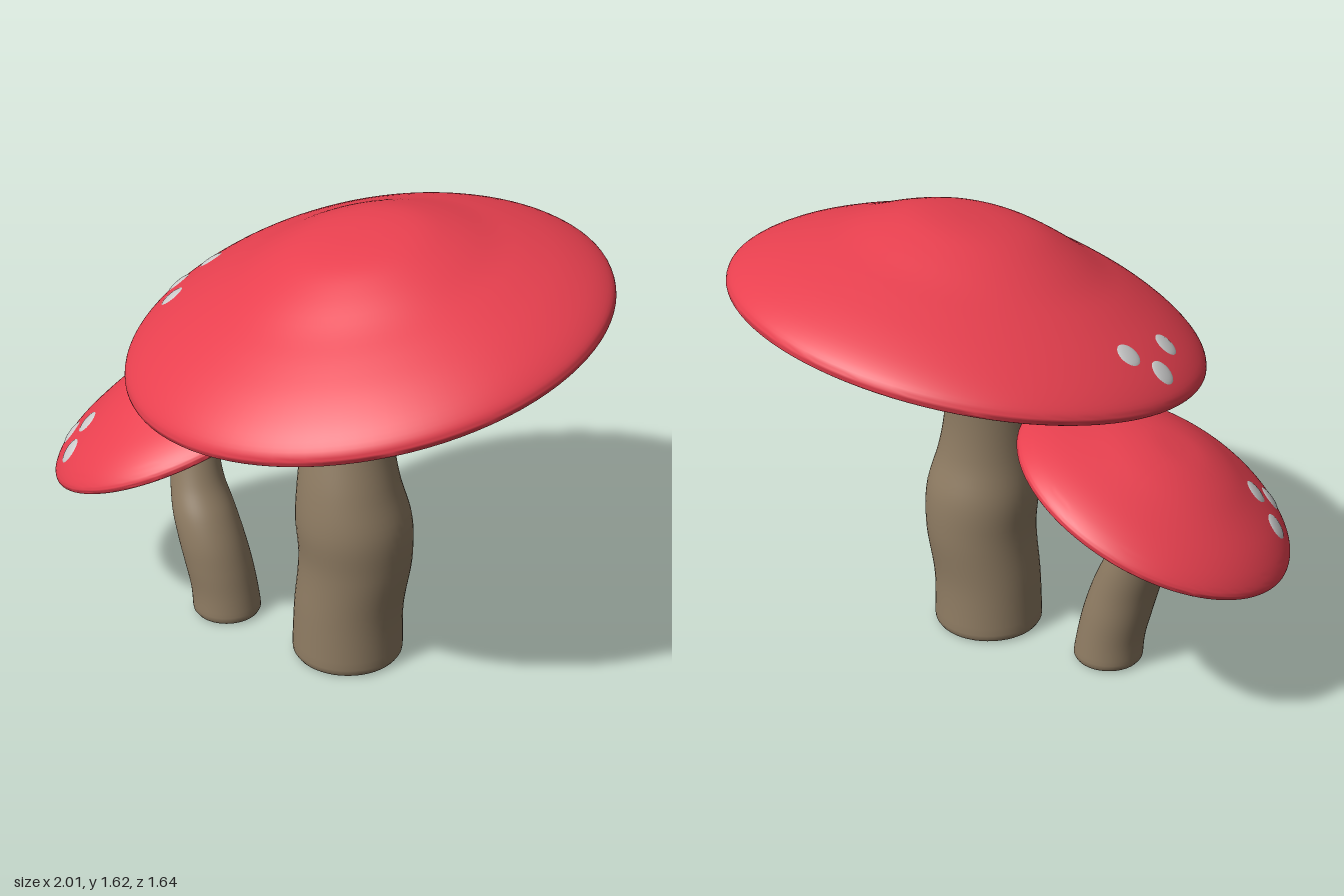
import * as THREE from 'three';
import { toCreasedNormals } from 'three/addons/utils/BufferGeometryUtils.js';

const red = new THREE.MeshStandardMaterial({ color: 0xe8404f });
const brown = new THREE.MeshStandardMaterial({ color: 0x8f7c63 });
const grey = new THREE.MeshStandardMaterial({ color: 0xcccccc });

// Smooth lathe through a few [radius, height] points, then reshaped by a rule
function turned(points, steps, segments, rule) {
  const curve = new THREE.SplineCurve(points.map(p => new THREE.Vector2(...p)));
  const profile = curve.getPoints(steps);
  profile.forEach(p => { p.x = Math.max(p.x, 0); });
  return reshape(new THREE.LatheGeometry(profile, segments), rule);
}

function reshape(geometry, rule) {
  const pos = geometry.attributes.position;
  const v = new THREE.Vector3();
  for (let i = 0; i < pos.count; i++) {
    rule(v.fromBufferAttribute(pos, i));
    pos.setXYZ(i, v.x, v.y, v.z);
  }
  return toCreasedNormals(geometry, 1);
}

function named(geometry, material, name) {
  const mesh = new THREE.Mesh(geometry, material);
  mesh.name = name;
  return mesh;
}

// Bent stem from rings [y, centre x, centre z, radius], with a rounded foot
function makeStem(rings) {
  const spline = new THREE.CubicInterpolant(rings.map(r => r[0]), rings.flatMap(r => r.slice(1)), 3);
  const at = y => [...spline.evaluate(y)];
  const top = rings[rings.length - 1][0];
  const foot = rings[0][3];
  const profile = [[0, 0], [foot - 0.024, 0], [foot - 0.009, 0.005], [foot - 0.002, 0.016]]
    .map(p => new THREE.Vector2(...p));
  for (let i = 0; i <= 40; i++) {
    const y = 0.03 + (top - 0.03) * i / 40;
    profile.push(new THREE.Vector2(at(y)[2], y));
  }
  return reshape(new THREE.LatheGeometry(profile, 48), v => {
    const [x, z] = at(v.y);
    v.x += x;
    v.z += z;
  });
}

// Shallow cone under the cap, with narrow radial grooves fading to the rim
function makeGills(radius) {
  const points = [[0.1, -0.12], [0.142, -0.085], [0.18, -0.058], [0.25, -0.04], [0.4, -0.026], [0.6, -0.02], [0.8, -0.02]];
  const s = radius / 0.83;
  return turned(points.map(([r, y]) => [r * s, y * s]), 30, 320, v => {
    const r = Math.hypot(v.x, v.z) / s;
    const fade = THREE.MathUtils.smoothstep(r, 0.14, 0.24) * (1 - THREE.MathUtils.smoothstep(r, 0.3, 0.66));
    const groove = (0.5 + 0.5 * Math.cos(40 * Math.atan2(v.z, v.x))) ** 3;
    v.y += 0.014 * s * fade * groove;
  });
}

function makeMushroom({ name, centre, normal, radius, dome, lean, rings, spots }) {
  const group = new THREE.Group();
  group.name = name;
  group.add(named(makeStem(rings), brown, 'stem'));

  // Tilted head: dome and gills
  const head = new THREE.Group();
  head.name = 'head';
  head.position.set(...centre);
  head.quaternion.setFromUnitVectors(new THREE.Vector3(0, 1, 0), new THREE.Vector3(...normal).normalize());
  const cap = named(turned(dome, 44, 96, v => { v.x += lean * Math.max(v.y, 0); }), red, 'cap');
  head.add(cap, named(makeGills(radius), brown, 'gills'));
  group.add(head);
  group.updateMatrixWorld(true);

  // Flattened spots sunk into the cap
  const down = new THREE.Vector3(0, -1, 0);
  for (const [x, z] of spots) {
    const ray = new THREE.Raycaster(new THREE.Vector3(x, 3, z), down);
    const hit = ray.intersectObject(cap)[0];
    const out = hit.face.normal.clone().transformDirection(cap.matrixWorld);
    const spot = named(new THREE.SphereGeometry(0.05, 24, 12), grey, 'spot');
    spot.scale.y = 0.25;
    spot.position.copy(hit.point).addScaledVector(out, -0.006);
    spot.quaternion.setFromUnitVectors(new THREE.Vector3(0, 1, 0), out);
    group.add(spot);
  }
  return group;
}

export function createModel() {
  const model = new THREE.Group();
  model.name = 'mushrooms';
  model.add(makeMushroom({
    name: 'largeMushroom',
    centre: [0.18, 1.24, 0],
    normal: [-0.146, 1, 0.152],
    radius: 0.83,
    lean: 0.11,
    dome: [[0.8, -0.02], [0.822, -0.012], [0.83, 0.004], [0.815, 0.037], [0.76, 0.084], [0.67, 0.138], [0.56, 0.19],
      [0.45, 0.236], [0.33, 0.291], [0.22, 0.331], [0.11, 0.349], [0, 0.353]],
    rings: [[0, 0.165, 0.095, 0.197], [0.2, 0.17, 0.095, 0.193], [0.4, 0.191, 0.088, 0.199], [0.55, 0.186, 0.095, 0.202],
      [0.7, 0.17, 0.102, 0.177], [0.85, 0.157, 0.088, 0.156], [1.0, 0.157, 0.063, 0.145], [1.1, 0.168, 0.024, 0.14],
      [1.16, 0.181, -0.006, 0.135], [1.22, 0.182, -0.005, 0.12]],
    spots: [[-0.575, -0.01], [-0.49, -0.09], [-0.505, 0.14]],
  }));
  model.add(makeMushroom({
    name: 'smallMushroom',
    centre: [-0.535, 0.73, 0.035],
    normal: [-0.44, 1, 0.14],
    radius: 0.51,
    lean: 0.05,
    dome: [[0.492, -0.012], [0.505, -0.007], [0.51, 0.003], [0.5, 0.025], [0.462, 0.06], [0.4, 0.098], [0.3, 0.143],
      [0.2, 0.182], [0.1, 0.205], [0, 0.21]],
    rings: [[0, -0.34, 0.088, 0.125], [0.1, -0.352, 0.088, 0.121], [0.2, -0.374, 0.09, 0.122], [0.3, -0.402, 0.09, 0.12],
      [0.4, -0.438, 0.08, 0.113], [0.5, -0.475, 0.06, 0.097], [0.6, -0.498, 0.04, 0.088], [0.66, -0.51, 0.03, 0.085],
      [0.72, -0.528, 0.034, 0.075]],
    spots: [[-0.91, 0.21], [-0.81, 0.25], [-0.82, 0.35]],
  }));
  return model;
}
